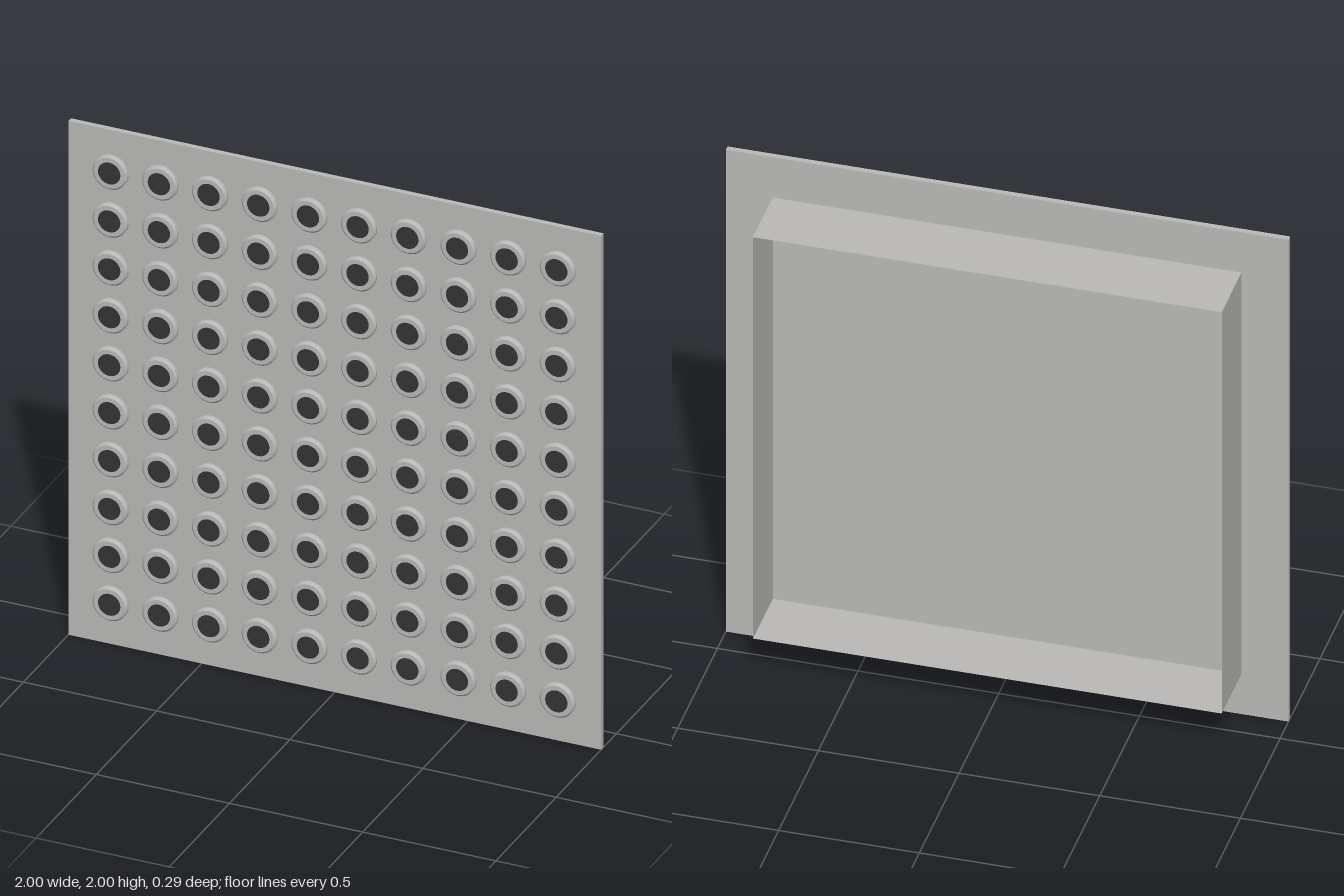
import * as THREE from 'three';
import { toCreasedNormals } from 'three/addons/utils/BufferGeometryUtils.js';

const FRONT = 0.143, BACK = -0.143, PLATE_BACK = 0.106, PLATE_FRONT = 0.127;

export function createModel() {
  const metal = new THREE.MeshStandardMaterial({ color: 0xbab9b7, side: THREE.DoubleSide });
  metal.name = 'greyMetal';
  const dark = new THREE.MeshStandardMaterial({ color: 0x343434 });
  dark.name = 'darkOpening';

  const model = new THREE.Group();
  model.name = 'nozzleDiffuser';
  const add = (parent, name, geometry, material, x, y, z) => {
    const mesh = new THREE.Mesh(geometry, material);
    mesh.name = name;
    mesh.position.set(x, y, z);
    parent.add(mesh);
    return mesh;
  };

  // Square face plate
  add(model, 'facePlate', new THREE.BoxGeometry(2, 2, PLATE_FRONT - PLATE_BACK), metal,
    0, 1, (PLATE_FRONT + PLATE_BACK) / 2);

  // Open sheet-metal collar behind the plate
  const half = 0.833, depth = PLATE_BACK - BACK;
  const collar = new THREE.Group();
  collar.name = 'rearCollar';
  collar.position.set(0, 1, (PLATE_BACK + BACK) / 2);
  for (let i = 0; i < 4; i++) {
    const wall = new THREE.PlaneGeometry(half * 2, depth);
    wall.rotateX(-Math.PI / 2).translate(0, half, 0).rotateZ(i * Math.PI / 2);
    add(collar, 'collarWall', wall, metal, 0, 0, 0);
  }
  model.add(collar);

  // Round nozzles with bevelled rims and dark openings
  const h = FRONT - PLATE_FRONT;
  const profile = [[0.066, 0], [0.066, h * 0.55], [0.0585, h], [0.04, h]]
    .map(([r, y]) => new THREE.Vector2(r, y));
  const rim = toCreasedNormals(new THREE.LatheGeometry(profile, 32).rotateX(Math.PI / 2), 0.4);
  const opening = new THREE.CircleGeometry(0.042, 32);
  const count = 10, step = 0.1865;
  for (let row = 0; row < count; row++) {
    for (let col = 0; col < count; col++) {
      const nozzle = new THREE.Group();
      nozzle.name = 'nozzle';
      nozzle.position.set((col - 4.5) * step, 1 + (row - 4.5) * step, PLATE_FRONT);
      add(nozzle, 'nozzleRim', rim, metal, 0, 0, 0);
      add(nozzle, 'nozzleOpening', opening, dark, 0, 0, h + 0.0005);
      model.add(nozzle);
    }
  }
  return model;
}
